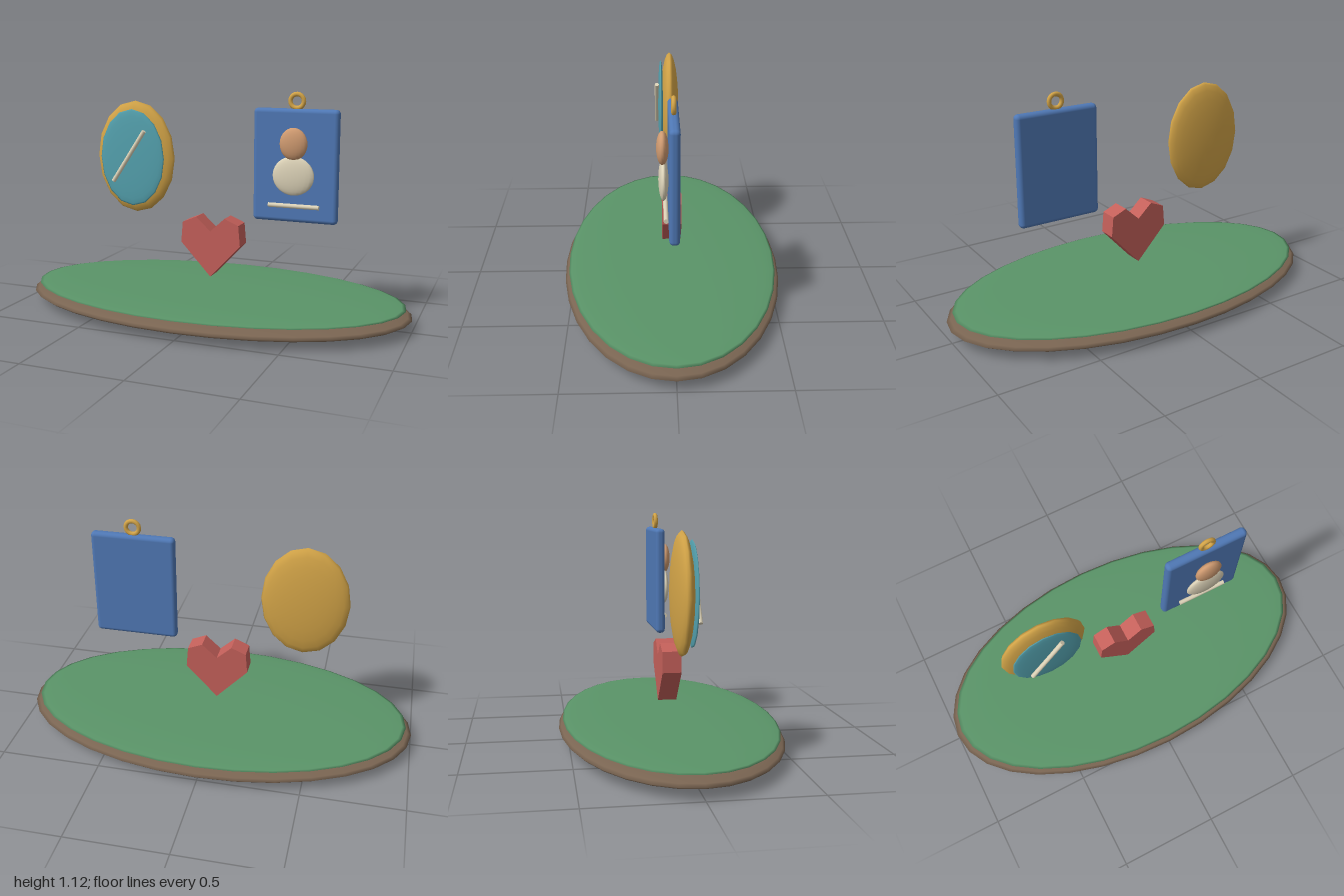
import * as THREE from 'three';
import { RoundedBoxGeometry } from 'three/addons/geometries/RoundedBoxGeometry.js';

const mat = (color, flatShading = false) => new THREE.MeshStandardMaterial({ color, flatShading });
const GREEN = mat(0x5a9468), BROWN = mat(0x7a6552), GOLD = mat(0xd4a548), TEAL = mat(0x55a3b0);
const BLUE = mat(0x4f78b5), RED = mat(0xc4605a, true), SKIN = mat(0xcf9a70), CREAM = mat(0xddd3b8);

export function createModel() {
  const model = new THREE.Group();

  const add = (parent, name, geometry, material, x, y, z) => {
    const mesh = new THREE.Mesh(geometry, material);
    mesh.name = name;
    mesh.position.set(x, y, z);
    parent.add(mesh);
    return mesh;
  };
  const group = (name) => {
    const g = new THREE.Group();
    g.name = name;
    model.add(g);
    return g;
  };
  // Flattened sphere with its pole on y, or on z when facing is true
  const ellipsoid = (rx, ry, rz, w, h, facing = false) => {
    const g = new THREE.SphereGeometry(1, w, h);
    if (facing) g.rotateX(Math.PI / 2);
    return g.scale(rx, ry, rz);
  };
  const rod = (length) => new THREE.CylinderGeometry(0.011, 0.011, length, 12).rotateZ(Math.PI / 2);

  // Oval base with a grassy top
  const base = group('base');
  add(base, 'baseBody', ellipsoid(1, 0.057, 0.545, 32, 16), BROWN, 0, 0.06, 0);
  add(base, 'baseTop', ellipsoid(0.97, 0.019, 0.525, 32, 16), GREEN, 0, 0.103, 0);

  // Oval mirror with a glint bar
  const mirror = group('mirror');
  add(mirror, 'mirrorFrame', ellipsoid(0.215, 0.285, 0.047, 16, 12, true), GOLD, -0.425, 0.768, 0);
  add(mirror, 'mirrorGlass', ellipsoid(0.176, 0.246, 0.014, 16, 12, true), TEAL, -0.425, 0.768, 0.046);
  add(mirror, 'mirrorGlint', rod(0.315), CREAM, -0.435, 0.777, 0.067).rotation.z = 0.98;

  // Portrait card with hanging ring
  const card = group('portraitCard'), cx = 0.4225;
  add(card, 'cardPanel', new RoundedBoxGeometry(0.418, 0.545, 0.048, 3, 0.02), BLUE, cx, 0.766, 0);
  add(card, 'hangingRing', new THREE.TorusGeometry(0.033, 0.011, 8, 20), GOLD, cx, 1.074, 0);
  add(card, 'portraitHead', ellipsoid(0.068, 0.077, 0.028, 20, 14), SKIN, cx, 0.876, 0.05);
  add(card, 'portraitBody', ellipsoid(0.102, 0.094, 0.023, 20, 14), CREAM, cx, 0.723, 0.046);
  add(card, 'captionBar', rod(0.25), CREAM, cx, 0.576, 0.036);

  // Faceted heart floating above the base
  const heart = new THREE.Shape([
    [0, 0.187], [0.157, 0.355], [0.148, 0.458], [0.075, 0.489], [0, 0.42],
    [-0.075, 0.489], [-0.148, 0.458], [-0.157, 0.355],
  ].map(([x, y]) => new THREE.Vector2(x, y)));
  const heartGeometry = new THREE.ExtrudeGeometry(heart, { depth: 0.094, bevelEnabled: false });
  add(model, 'heart', heartGeometry.translate(0, 0, -0.047), RED, 0, 0, 0);

  return model;
}
